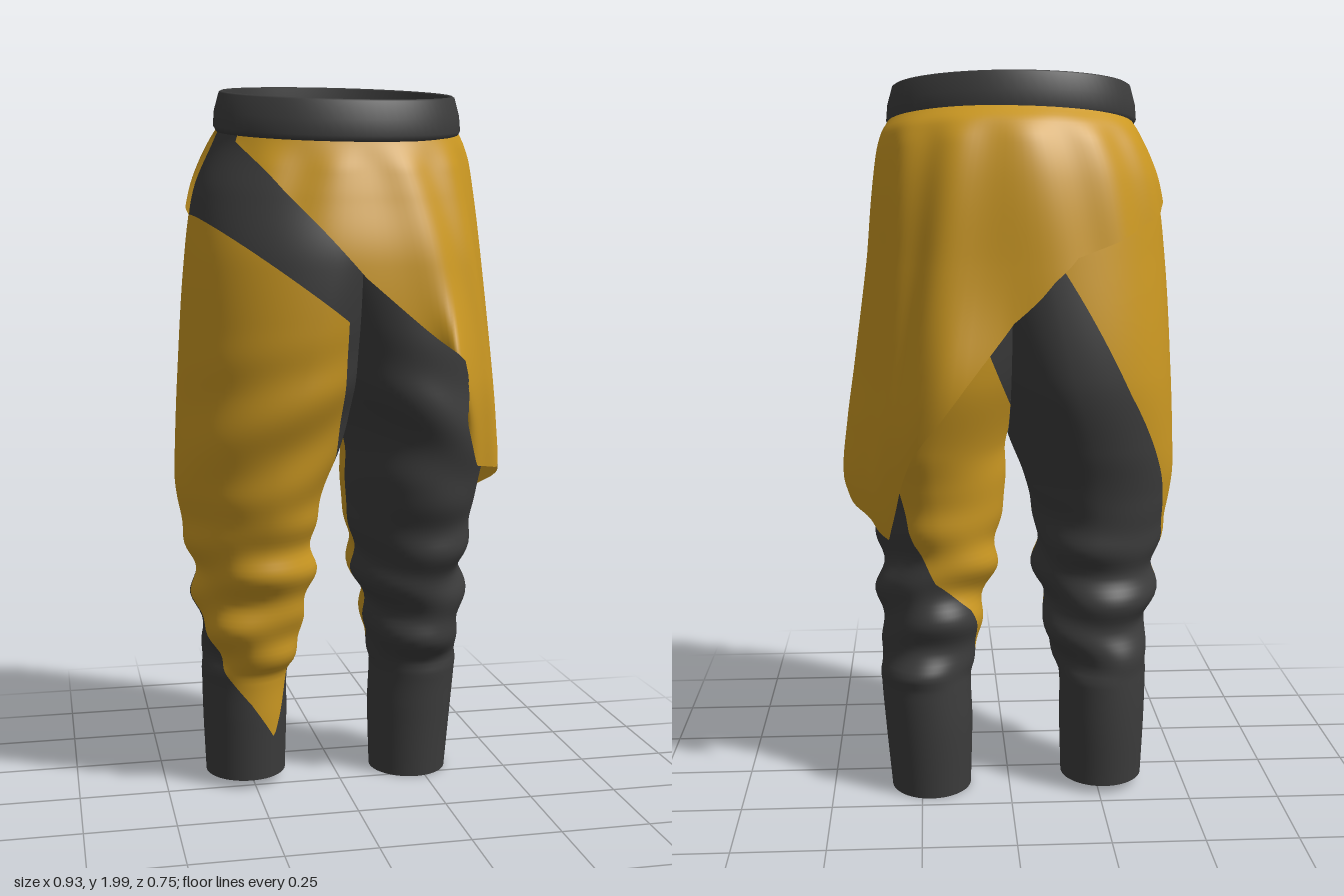
import * as THREE from 'three';

const gold = new THREE.MeshStandardMaterial({ color: 0xcb9822, side: THREE.DoubleSide });
gold.name = 'gold cloth';
const dark = new THREE.MeshStandardMaterial({ color: 0x3c3c3c, side: THREE.DoubleSide });
dark.name = 'charcoal cloth';

const RAD = Math.PI / 180;
const step = (a, b, t) => THREE.MathUtils.smoothstep(t, a, b);
const bell = (t, c, w) => Math.exp(-(((t - c) / w) ** 2));

// Smooth interpolation through rows of [key, ...values]
function at(rows, y) {
  let i = 0;
  while (i < rows.length - 2 && rows[i + 1][0] < y) i++;
  const a = rows[i], b = rows[i + 1], h = b[0] - a[0];
  const p = rows[i - 1] || a, n = rows[i + 2] || b;
  const t = THREE.MathUtils.clamp((y - a[0]) / h, 0, 1), t2 = t * t, t3 = t2 * t;
  return a.map((_, k) => {
    const m0 = ((b[k] - p[k]) / (b[0] - p[0])) * h, m1 = ((n[k] - a[k]) / (n[0] - a[0])) * h;
    return (2 * t3 - 3 * t2 + 1) * a[k] + (t3 - 2 * t2 + t) * m0 + (3 * t2 - 2 * t3) * b[k] + (t3 - t2) * m1;
  });
}

// Straight-line lookup in a table of [key, height] pairs
function hemAt(table, key) {
  let i = 0;
  while (i < table.length - 2 && table[i + 1][0] < key) i++;
  const [a, ya] = table[i], [b, yb] = table[i + 1];
  return ya + ((yb - ya) * (key - a)) / (b - a);
}

// Closed tube of rings; point(deg, y) gives [x, y, z, ...fields]. Returns loose triangles with normals.
function tube(cols, rows, y0, y1, flip, point) {
  const pts = [], index = [];
  for (let j = 0; j <= rows; j++)
    for (let i = 0; i < cols; i++) pts.push(point(-180 + (360 * i) / cols, y0 + ((y1 - y0) * j) / rows));
  for (let j = 0; j < rows; j++)
    for (let i = 0; i < cols; i++) {
      const a = j * cols + i, b = j * cols + ((i + 1) % cols), c = a + cols, d = b + cols;
      index.push(...(flip ? [a, d, b, a, c, d] : [a, b, d, a, d, c]));
    }
  const g = new THREE.BufferGeometry();
  g.setAttribute('position', new THREE.Float32BufferAttribute(pts.flatMap(p => p.slice(0, 3)), 3));
  g.setIndex(index);
  g.computeVertexNormals();
  const n = g.attributes.normal;
  const verts = pts.map((p, i) => [p[0], p[1], p[2], n.getX(i), n.getY(i), n.getZ(i), ...p.slice(3)]);
  const tris = [];
  for (let i = 0; i < index.length; i += 3) tris.push([verts[index[i]], verts[index[i + 1]], verts[index[i + 2]]]);
  return tris;
}

// Keep the side of the triangles where sign * field >= 0, cutting cleanly along the zero line
function cut(tris, field, sign) {
  const out = [];
  for (const t of tris) {
    const poly = [];
    for (let i = 0; i < 3; i++) {
      const a = t[i], b = t[(i + 1) % 3], fa = a[field] * sign, fb = b[field] * sign;
      if (fa >= 0) poly.push(a);
      if (fa >= 0 !== fb >= 0) poly.push(a.map((v, k) => v + ((b[k] - v) * fa) / (fa - fb)));
    }
    for (let i = 2; i < poly.length; i++) out.push([poly[0], poly[i - 1], poly[i]]);
  }
  return out;
}

function toMesh(tris, material, name) {
  const g = new THREE.BufferGeometry(), flat = tris.flat();
  g.setAttribute('position', new THREE.Float32BufferAttribute(flat.flatMap(v => v.slice(0, 3)), 3));
  g.setAttribute('normal', new THREE.Float32BufferAttribute(flat.flatMap(v => v.slice(3, 6)), 3));
  const mesh = new THREE.Mesh(g, material);
  mesh.name = name;
  return mesh;
}

// The waist sits higher at the back
const tilt = (y, z) => y - 0.16 * z * step(1.5, 1.86, y);
// The left thigh is flatter towards the back
const flatten = (deg, y) => 0.035 * bell(deg, 128, 26) * bell(y, 1.05, 0.4);

// Leg sections: y, centre x, inner radius, outer radius, front z, back z
const hips = (d) => [
  [1.0, 0.22, 0.215, 0.245 - d * 0.75, 0.255, -0.27],
  [1.2, 0.16, 0.22, 0.295 - d * 0.9, 0.3, -0.315],
  [1.5, 0.09, 0.25, 0.345 - d * 0.9, 0.315, -0.305],
  [1.7, 0.04, 0.3, 0.365 - d * 0.85, 0.28, -0.28],
  [1.83, 0.0, 0.33, 0.35 - d * 0.35, 0.25, -0.235],
  [1.88, 0, 0.315, 0.33 - d * 0.3, 0.24, -0.19],
];
const rightRows = [
  [0.03, 0.265, 0.115, 0.115, 0.03, -0.21],
  [0.2, 0.265, 0.12, 0.122, 0.045, -0.222],
  [0.34, 0.265, 0.122, 0.125, 0.06, -0.222],
  [0.42, 0.262, 0.145, 0.128, 0.095, -0.215],
  [0.6, 0.25, 0.165, 0.165, 0.145, -0.205],
  [0.8, 0.24, 0.17, 0.21, 0.2, -0.22],
  [0.9, 0.235, 0.19, 0.232, 0.23, -0.24],
  ...hips(0),
];
const leftRows = [
  [0.005, 0.225, 0.115, 0.11, 0.03, -0.21],
  [0.2, 0.23, 0.125, 0.122, 0.045, -0.222],
  [0.34, 0.235, 0.127, 0.127, 0.06, -0.222],
  [0.42, 0.23, 0.138, 0.13, 0.095, -0.215],
  [0.6, 0.21, 0.158, 0.155, 0.145, -0.205],
  [0.75, 0.2, 0.178, 0.172, 0.19, -0.215],
  [0.9, 0.215, 0.21, 0.185, 0.23, -0.24],
  ...hips(0.075),
];

// Lower edge of the gold panel around each leg (0 = front, 90 = outer side, 180 = back)
const rightPanel = [[-180, 1.58], [-160, 2], [-96, 2], [-84, 0.42], [-35, 0.15], [0, 0.26], [42, 0.37],
  [90, 0.58], [120, 0.82], [150, 1.16], [180, 1.58]];
const leftPanel = [[-180, 0.63], [-135, 0.54], [-100, 0.4], [-84, 0.45], [-76, 2], [120, 2], [137, 1.1],
  [155, 0.75], [180, 0.63]];

function buildLeg(side, rows, panel, label) {
  const group = new THREE.Group();
  group.name = label;
  const tris = tube(96, 120, rows[0][0], 1.88, side < 0, (deg, y) => {
    const [, cx, ri, ro, zf, zb] = at(rows, y), s = Math.sin(deg * RAD), c = Math.cos(deg * RAD);
    // Bunched folds above the cuff and soft drape on the thigh
    const bunch = step(0.32, 0.37, y) * (1 - step(0.62, 0.92, y));
    const thigh = step(0.75, 0.95, y) * (1 - step(1.15, 1.35, y));
    const d = 0.008 * bunch * (Math.sin(44 * y + 2.2 * Math.sin(deg * RAD + side)) + Math.sin(29 * y - 2 * s + 1.5 * c))
      + 0.007 * thigh * Math.sin(24 * y + 3 * s) * Math.max(0, c) - (side > 0 ? flatten(deg, y) : 0);
    const zm = (zf + zb) / 2, rz = (zf - zb) / 2;
    const x = cx + s * ((s > 0 ? ro : ri) + d), z = zm + c * (rz + d), yy = tilt(y, z);
    const limit = side < 0
      ? Math.min(1.33 + 0.73 * x - yy + 4 * Math.max(0, -z - 0.01), x - 0.035)
      : 1.12 + 2.5 * x - yy;
    const lining = side < 0 ? Math.min(yy - 1.58, -z - 0.03) : yy - 1.48;
    return [side * x, yy, z, x, Math.max(Math.min(yy - hemAt(panel, deg), limit), lining)];
  });
  const half = cut(tris, 6, 1);
  group.add(toMesh(cut(half, 7, 1), gold, label + ' gold panel'));
  group.add(toMesh(cut(half, 7, -1), dark, label + ' dark panel'));
  return group;
}

// Wrap skirt sections: y, centre x, left radius, right radius, front z, back z
const skirtRows = [
  [0.72, 0.2, 0.23, 0.25, 0.22, -0.275],
  [0.9, 0.2, 0.26, 0.25, 0.245, -0.305],
  [1.05, 0.19, 0.258, 0.26, 0.285, -0.33],
  [1.2, 0.16, 0.267, 0.307, 0.32, -0.335],
  [1.5, 0.09, 0.297, 0.353, 0.33, -0.32],
  [1.7, 0.04, 0.325, 0.373, 0.297, -0.297],
  [1.83, 0.003, 0.34, 0.358, 0.265, -0.25],
  [1.88, 0, 0.318, 0.335, 0.25, -0.2],
];
// Hem heights: across the front by x, round the side and back by angle
const frontHem = [[-0.34, 1.86], [-0.2, 1.69], [0, 1.47], [0.15, 1.345], [0.265, 1.25], [0.275, 1.1],
  [0.335, 0.955], [0.45, 0.93]];
const sideHem = [[-180, 1.36], [-172, 1.47], [-165, 1.525], [-130, 1.6], [-93, 1.66], [-90, 2], [-68, 2], [-62, 1.86],
  [75, 0.92], [90, 0.88], [120, 0.82], [145, 0.765], [152, 0.85], [160, 0.99], [168, 1.1], [180, 1.36]];

function buildSkirt() {
  const tris = tube(144, 110, 0.72, 1.88, false, (deg, y) => {
    const [, cx, rl, rr, zf, zb] = at(skirtRows, y), s = Math.sin(deg * RAD), c = Math.cos(deg * RAD);
    const pleat = 0.012 * (0.5 + 0.5 * Math.sin(13 * deg * RAD + 2 * y)) * (1 - step(1.78, 1.87, y)) * (0.35 + 0.65 * Math.abs(c))
      - flatten(deg, y);
    const x = cx * Math.tanh(5 * s) + s * ((s > 0 ? rl : rr) + pleat) - 0.03 * bell(deg, 27, 9) * bell(y, 1.23, 0.15);
    // Pointed fold at the front edge and a softer one behind
    const z = (zf + zb) / 2 + c * ((zf - zb) / 2 + pleat)
      + 0.085 * bell(deg, 27, 10) * bell(y, 1.22, 0.16) - 0.035 * bell(deg, 170, 8) * bell(y, 1.2, 0.18);
    const yy = tilt(y, z);
    return [x, yy, z, yy - (deg > -62 && deg < 75 ? hemAt(frontHem, x) : hemAt(sideHem, deg))];
  });
  return toMesh(cut(tris, 6, 1), gold, 'wrap skirt');
}

// Tilted oval waistband
function buildWaistband() {
  const profile = [[0.95, 1.865], [1.0, 1.86], [1.025, 1.875], [1.015, 1.915], [0.975, 1.963], [0.955, 1.967],
    [0.935, 1.963], [0.955, 1.915], [0.95, 1.865]].map(([r, y]) => new THREE.Vector2(r, y));
  const g = new THREE.LatheGeometry(profile, 72);
  const rz = 0.23, zc = 0.03;
  g.applyMatrix4(new THREE.Matrix4().set(
    0.332, 0, 0, -0.013,
    0, 1, -0.16 * rz, -0.16 * zc,
    0, 0, rz, zc,
    0, 0, 0, 1));
  const mesh = new THREE.Mesh(g, dark);
  mesh.name = 'waistband';
  return mesh;
}

export function createModel() {
  const model = new THREE.Group();
  model.name = 'wrap trousers';
  model.add(buildLeg(-1, rightRows, rightPanel, 'right leg'));
  model.add(buildLeg(1, leftRows, leftPanel, 'left leg'));
  model.add(buildSkirt(), buildWaistband());
  return model;
}
